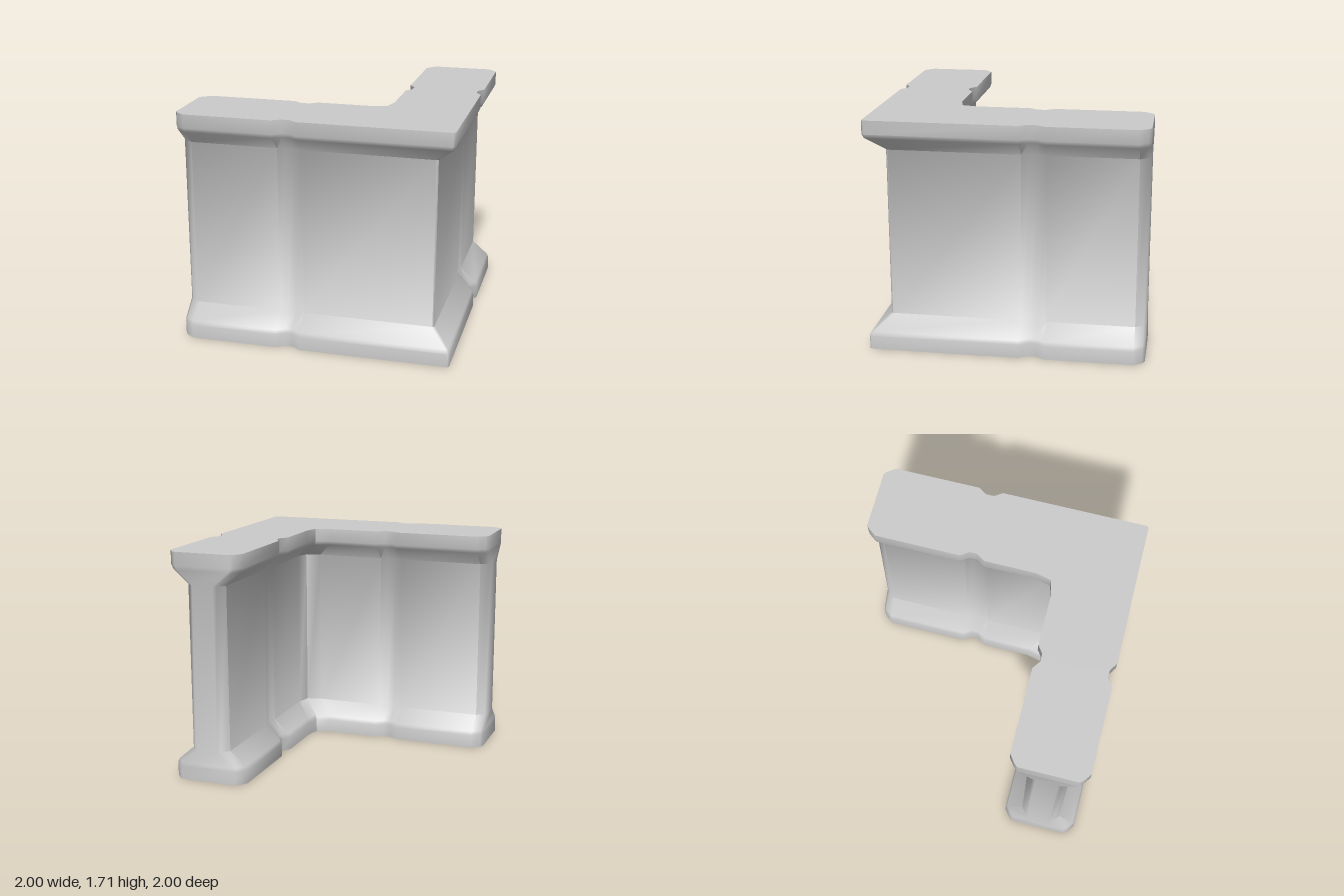
import * as THREE from 'three';
import { toCreasedNormals } from 'three/addons/utils/BufferGeometryUtils.js';

// One arm of the L plan, from the outer corner round to the inner corner:
// [x, z, inward shift in x, inward shift in z] (shift is per unit of inset)
const N = 0.78; // notch floors move in less, so notches fade on the waist
const ARM = [
  [0.985, 0.998, -1, -1],
  [-0.10, 0.998, 0, -1], [-0.16, 0.958, 0, -N], [-0.22, 0.958, 0, -N], [-0.28, 0.998, 0, -1],
  [-0.92, 0.998, 0, -1], [-0.98, 0.955, 0, -1], [-0.998, 0.93, 0, -1],
  [-0.998, 0.50, 0, 1], [-0.98, 0.475, 0, 1], [-0.92, 0.43, 0, 1],
  [-0.28, 0.43, 0, 1], [-0.22, 0.472, 0, N], [-0.16, 0.472, 0, N], [-0.10, 0.43, 0, 1],
  [0.29, 0.43, 1, 1],
];
const INNER = [0.403, 0.403, 1, 1];

// Height and inset of each ring: foot, flare, waist, flare, cap
const LEVELS = [
  [0, 0], [0.10, 0], [0.13, 0.013], [0.235, 0.134],
  [1.47, 0.134], [1.575, 0.013], [1.605, 0], [1.705, 0],
];

function wallGeometry() {
  // The second arm mirrors the first across the corner diagonal
  const mirrored = ARM.map(([x, z, dx, dz]) => [z, x, dz, dx]).reverse();
  const plan = [...ARM, INNER, ...mirrored];
  const n = plan.length;
  const pos = [], index = [];

  for (const [y, d] of LEVELS)
    for (const [x, z, dx, dz] of plan) pos.push(x + dx * d, y, z + dz * d);

  // Side bands between neighbouring rings
  for (let l = 0; l < LEVELS.length - 1; l++) {
    for (let i = 0; i < n; i++) {
      const a = l * n + i, b = l * n + (i + 1) % n;
      index.push(b, a, a + n, b, a + n, b + n);
    }
  }

  // Flat bottom and top
  const outline = plan.map(([x, z]) => new THREE.Vector2(x, z));
  const top = (LEVELS.length - 1) * n;
  for (const [a, b, c] of THREE.ShapeUtils.triangulateShape(outline, [])) {
    index.push(a, b, c, top + a, top + c, top + b);
  }

  const geo = new THREE.BufferGeometry();
  geo.setAttribute('position', new THREE.Float32BufferAttribute(pos, 3));
  geo.setIndex(index);
  return toCreasedNormals(geo, 0.9);
}

export function createModel() {
  const group = new THREE.Group();
  group.name = 'cornerWall';
  const wall = new THREE.Mesh(
    wallGeometry(),
    new THREE.MeshStandardMaterial({ color: 0xcccccc })
  );
  wall.name = 'wall';
  group.add(wall);
  return group;
}
